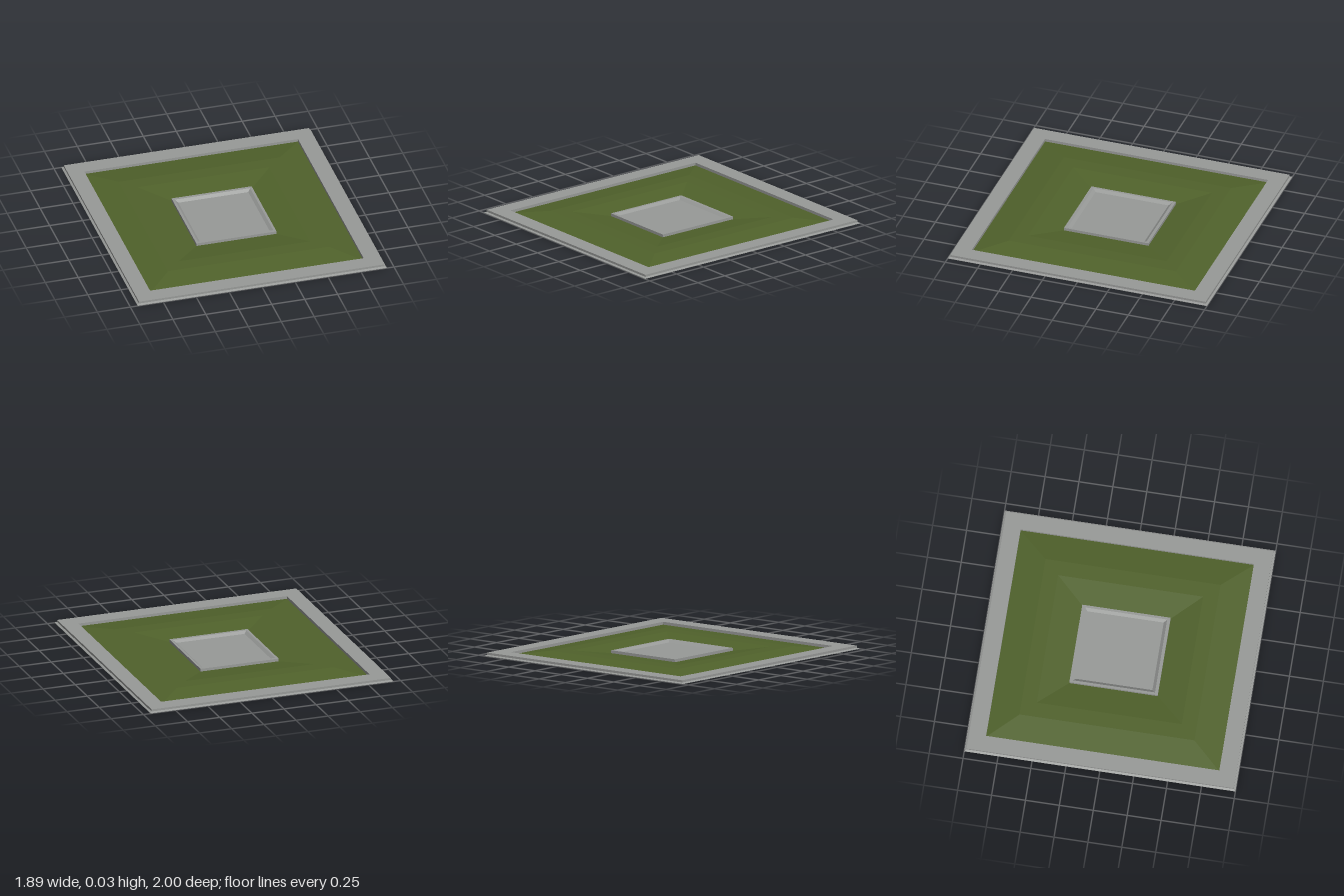
import * as THREE from 'three';

const stone = new THREE.MeshStandardMaterial({ color: 0x989a98 });
stone.name = 'stone grey';
const grass = new THREE.MeshStandardMaterial({ color: 0x50622b });
grass.name = 'grass green';

// Rectangular loft: each ring is [half width x, height y, half depth z].
// Rings running up the outside, inwards and down the inside face outwards.
function rectLoft(name, material, rings) {
  const signs = [[-1, 1], [1, 1], [1, -1], [-1, -1]];
  const corner = ([hx, y, hz], i) => {
    const [sx, sz] = signs[i % 4];
    return [sx * hx, y, sz * hz];
  };
  const pos = [];
  for (let r = 0; r < rings.length - 1; r++) {
    for (let i = 0; i < 4; i++) {
      const a = corner(rings[r], i), b = corner(rings[r], i + 1);
      const c = corner(rings[r + 1], i + 1), d = corner(rings[r + 1], i);
      pos.push(...a, ...b, ...c, ...a, ...c, ...d);
    }
  }
  const geo = new THREE.BufferGeometry();
  geo.setAttribute('position', new THREE.Float32BufferAttribute(pos, 3));
  geo.computeVertexNormals();
  const mesh = new THREE.Mesh(geo, material);
  mesh.name = name;
  return mesh;
}

// Flat horizontal rectangle facing up (dir = 1) or down (dir = -1)
function flat(name, material, hx, y, hz, dir) {
  const geo = new THREE.PlaneGeometry(hx * 2, hz * 2);
  geo.rotateX(-dir * Math.PI / 2);
  const mesh = new THREE.Mesh(geo, material);
  mesh.name = name;
  mesh.position.y = y;
  return mesh;
}

export function createModel() {
  const model = new THREE.Group();
  model.name = 'gardenPlot';

  // Underside of the plot
  model.add(flat('groundUnderside', grass, 0.945, 0, 1, -1));

  // Pavement with a sloping skirt around the outside
  model.add(rectLoft('pavement', stone, [
    [0.945, 0, 1],
    [0.945, 0.003, 1],
    [0.93, 0.009, 0.985],
    [0.93, 0.025, 0.985],
    [0.81, 0.025, 0.86],
    [0.81, 0.003, 0.86],
  ]));

  // Lawn rising to a low flat ridge and falling towards the centre
  model.add(rectLoft('lawn', grass, [
    [0.81, 0.004, 0.86],
    [0.61, 0.03, 0.645],
    [0.5, 0.03, 0.535],
    [0.304, 0.004, 0.326],
  ]));

  // Central basin: raised rim, sloping inner walls and floor
  model.add(rectLoft('basinRim', stone, [
    [0.304, 0.003, 0.326],
    [0.304, 0.025, 0.326],
    [0.286, 0.025, 0.303],
    [0.265, 0.008, 0.281],
  ]));
  model.add(flat('basinFloor', stone, 0.265, 0.008, 0.281, 1));

  return model;
}
